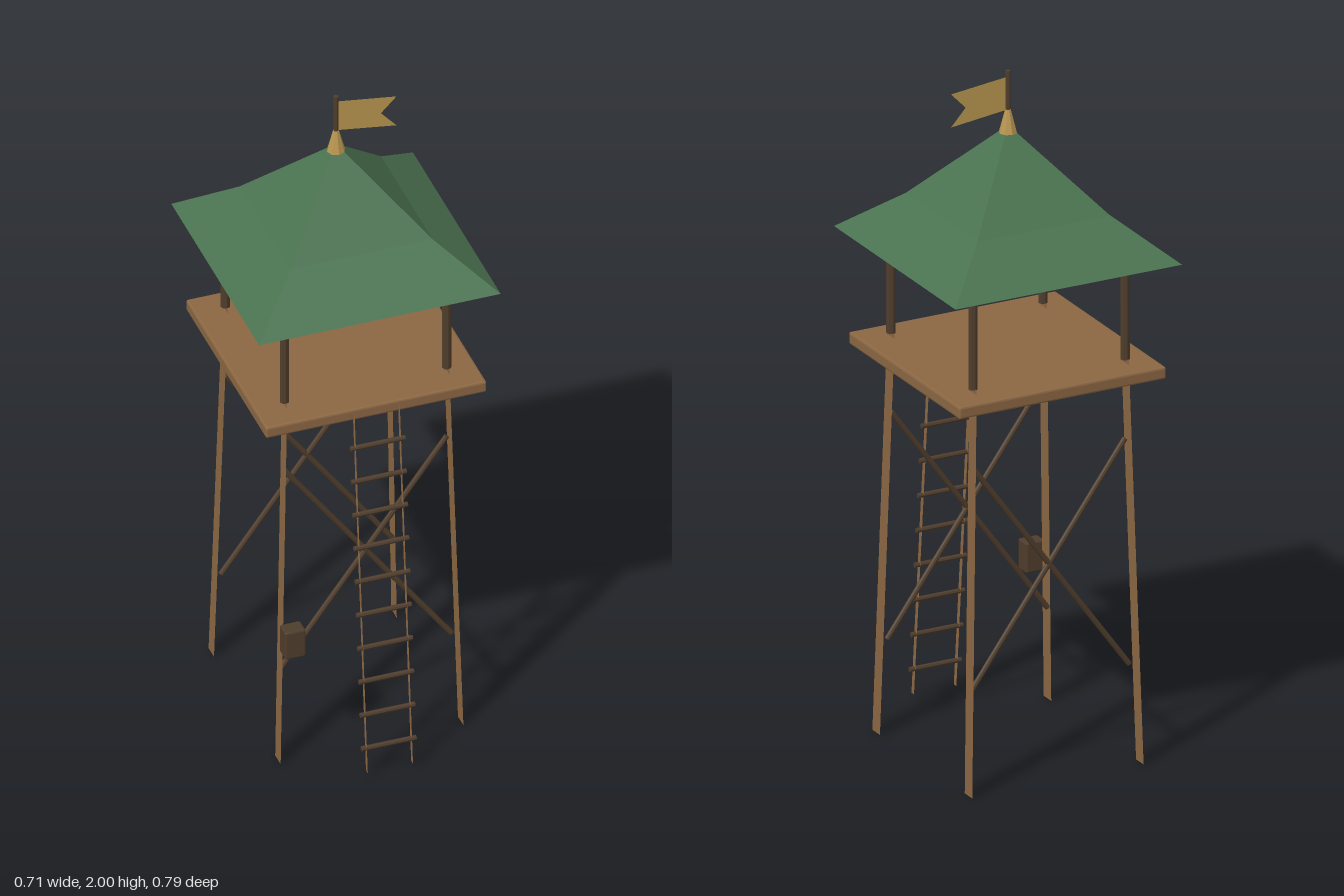
import * as THREE from 'three';
import { RoundedBoxGeometry } from 'three/addons/geometries/RoundedBoxGeometry.js';

const mat = (name, color, extra = {}) => {
  const m = new THREE.MeshStandardMaterial({ color, flatShading: true, ...extra });
  m.name = name;
  return m;
};

const CZ = -0.042; // tower axis

export function createModel() {
  const group = new THREE.Group();
  const wood = mat('plank wood', 0x8b6642, { side: THREE.DoubleSide });
  const dark = mat('dark wood', 0x4f3d2c);
  const green = mat('roof green', 0x4a7350);
  const gold = mat('gold', 0xb8964f, { side: THREE.DoubleSide });

  const add = (name, geometry, material, x = 0, y = 0, z = 0) => {
    const mesh = new THREE.Mesh(geometry, material);
    mesh.name = name;
    mesh.position.set(x, y, z);
    group.add(mesh);
    return mesh;
  };

  // Round bar between two points
  const bar = (name, a, b, radius, material) => {
    const from = new THREE.Vector3(...a), to = new THREE.Vector3(...b);
    const dir = to.clone().sub(from);
    const mesh = add(name, new THREE.CylinderGeometry(radius, radius, dir.length(), 8), material);
    mesh.position.copy(from).add(to).multiplyScalar(0.5);
    mesh.quaternion.setFromUnitVectors(new THREE.Vector3(0, 1, 0), dir.normalize());
  };

  // Flat plank lying across z, from a (bottom) to b (top)
  const plank = (name, a, b, width) => {
    const h = width / 2;
    const g = new THREE.BufferGeometry();
    g.setAttribute('position', new THREE.Float32BufferAttribute([
      a[0], a[1], a[2] + h, a[0], a[1], a[2] - h,
      b[0], b[1], b[2] - h, b[0], b[1], b[2] + h,
    ], 3));
    g.setIndex([0, 1, 2, 0, 2, 3]);
    g.computeVertexNormals();
    add(name, g, wood);
  };

  // Splayed legs and roof posts
  for (const sx of [-1, 1]) {
    for (const sz of [-1, 1]) {
      plank('leg', [sx * 0.267, 0, CZ + sz * 0.268], [sx * 0.237, 1.19, CZ + sz * 0.238], 0.044);
      bar('roofPost', [sx * 0.237, 1.187, CZ + sz * 0.238], [sx * 0.237, 1.49, CZ + sz * 0.238], 0.0135, dark);
    }
  }

  // Crossed braces on front and back
  for (const sz of [-1, 1]) {
    for (const sx of [-1, 1]) {
      const z = CZ + sz * 0.237;
      bar('crossBrace', [sx * 0.25, 0.283, z], [-sx * 0.237, 0.952, z], 0.008, dark);
    }
  }

  // Platform
  add('platform', new RoundedBoxGeometry(0.645, 0.036, 0.645, 1, 0.006), wood, 0, 1.157, CZ + 0.003);

  // Leaning ladder
  const ladderZ = (y) => 0.388 - (y - 0.02) * 0.0925;
  for (const sx of [-1, 1]) {
    plank('ladderRail', [sx * 0.066, 0.02, ladderZ(0.02)], [sx * 0.066, 1.165, ladderZ(1.165)], 0.015);
  }
  for (let i = 0; i < 10; i++) {
    const y = 0.096 + i * 0.1062;
    bar('ladderRung', [-0.08, y, ladderZ(y)], [0.08, y, ladderZ(y)], 0.0075, dark);
  }

  // Small box fixed to the front leg
  add('legBox', new RoundedBoxGeometry(0.06, 0.09, 0.048, 1, 0.005), dark, -0.236, 0.42, 0.26);

  // Four-sided flared roof with closed underside
  const profile = [[0, 1.483], [0.353, 1.483], [0.207, 1.605], [0.008, 1.83], [0, 1.83]]
    .map(([r, y]) => new THREE.Vector2(r * Math.SQRT2, y));
  add('roof', new THREE.LatheGeometry(profile, 4, Math.PI / 4), green, 0, 0, CZ);

  // Finial, pole and swallow-tailed flag
  add('finial', new THREE.CylinderGeometry(0.008, 0.026, 0.068, 8), gold, 0, 1.852, CZ);
  bar('flagPole', [0, 1.87, CZ], [0, 2, CZ], 0.0075, dark);
  const flag = new THREE.Shape([[0, 1.885], [0.175, 1.862], [0.13, 1.913], [0.175, 1.96], [0, 1.982]]
    .map(([x, y]) => new THREE.Vector2(x, y)));
  add('flag', new THREE.ShapeGeometry(flag), gold, 0, 0, CZ).rotation.y = -0.03;

  return group;
}
